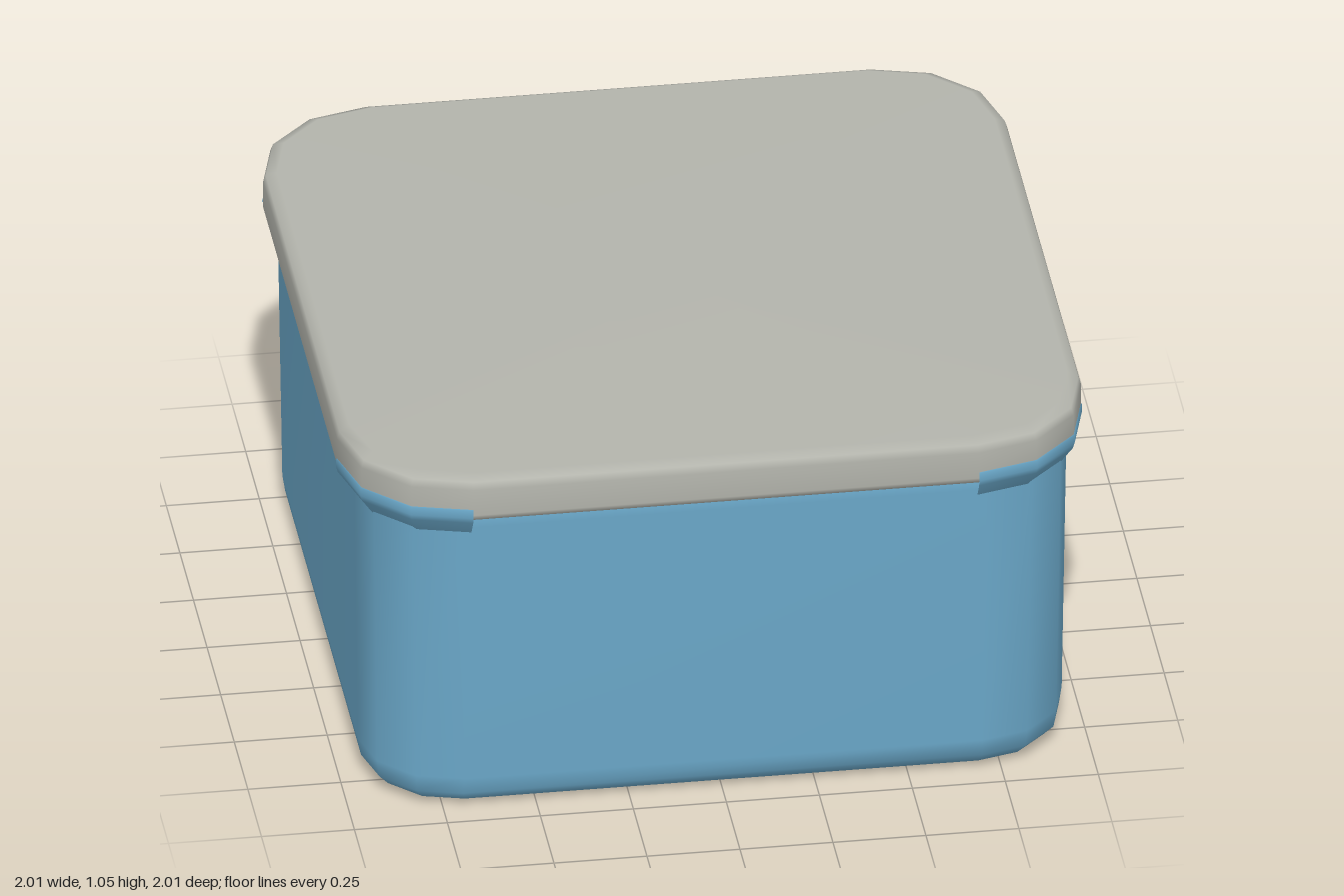
import * as THREE from 'three';

const STEPS = 3; // facets per rounded corner

// Rounded-square outline, running from +z round through +x
function outline(half, radius) {
  const points = [];
  const c = half - radius;
  for (let q = 0; q < 4; q++) {
    const mid = Math.PI / 4 + (q * Math.PI) / 2;
    const cx = Math.sign(Math.sin(mid)) * c;
    const cz = Math.sign(Math.cos(mid)) * c;
    for (let i = 0; i <= STEPS; i++) {
      const a = (q + i / STEPS) * (Math.PI / 2);
      points.push([cx + Math.sin(a) * radius, cz + Math.cos(a) * radius]);
    }
  }
  return points;
}

// Closed solid through rings of [half width, corner radius, height], bottom to top
function loft(rings) {
  const position = [];
  const index = [];
  const n = 4 * (STEPS + 1);
  for (const [half, radius, y] of rings) {
    for (const [x, z] of outline(half, radius)) position.push(x, y, z);
  }
  const bottom = rings.length * n;
  const top = bottom + 1;
  position.push(0, rings[0][2], 0, 0, rings[rings.length - 1][2], 0);
  const last = (rings.length - 1) * n;
  for (let i = 0; i < n; i++) {
    const j = (i + 1) % n;
    for (let r = 0; r < last; r += n) {
      index.push(r + i, r + j, r + n + j, r + i, r + n + j, r + n + i);
    }
    index.push(bottom, j, i, top, last + i, last + j);
  }
  const geometry = new THREE.BufferGeometry();
  geometry.setAttribute('position', new THREE.Float32BufferAttribute(position, 3));
  geometry.setIndex(index);
  geometry.computeVertexNormals();
  return geometry;
}

export function createModel() {
  const group = new THREE.Group();
  group.name = 'lidded box';
  const blue = new THREE.MeshStandardMaterial({ color: 0x6aa7c8 });
  blue.name = 'soft blue';
  const grey = new THREE.MeshStandardMaterial({ color: 0xb3b4ac });
  grey.name = 'warm grey';

  const add = (name, geometry, material) => {
    const mesh = new THREE.Mesh(geometry, material);
    mesh.name = name;
    group.add(mesh);
    return mesh;
  };

  // Tub with a softly rounded foot and a slight outward taper
  add('tub', loft([
    [0.86, 0.19, 0],
    [0.91, 0.22, 0.017],
    [0.938, 0.24, 0.05],
    [0.946, 0.25, 0.1],
    [0.957, 0.25, 0.88],
    [0.957, 0.25, 0.94],
  ]), blue);

  // Overhanging lid with rounded edges
  add('lid', loft([
    [0.975, 0.3, 0.918],
    [0.994, 0.315, 0.926],
    [1, 0.32, 0.942],
    [1, 0.32, 1.02],
    [0.993, 0.315, 1.041],
    [0.965, 0.3, 1.055],
  ]), grey);

  // Blue flare of the tub rim catching the lid at each corner
  const flare = [[0.284, 0.87], [0.318, 0.918], [0.323, 0.935], [0.323, 0.958], [0.317, 0.962]]
    .map(([r, y]) => new THREE.Vector2(r, y));
  for (let q = 0; q < 4; q++) {
    const mid = Math.PI / 4 + (q * Math.PI) / 2;
    const corner = add('cornerFlare',
      new THREE.LatheGeometry(flare, STEPS, (q * Math.PI) / 2, Math.PI / 2), blue);
    corner.position.set(Math.sign(Math.sin(mid)) * 0.68, 0, Math.sign(Math.cos(mid)) * 0.68);
  }

  return group;
}
